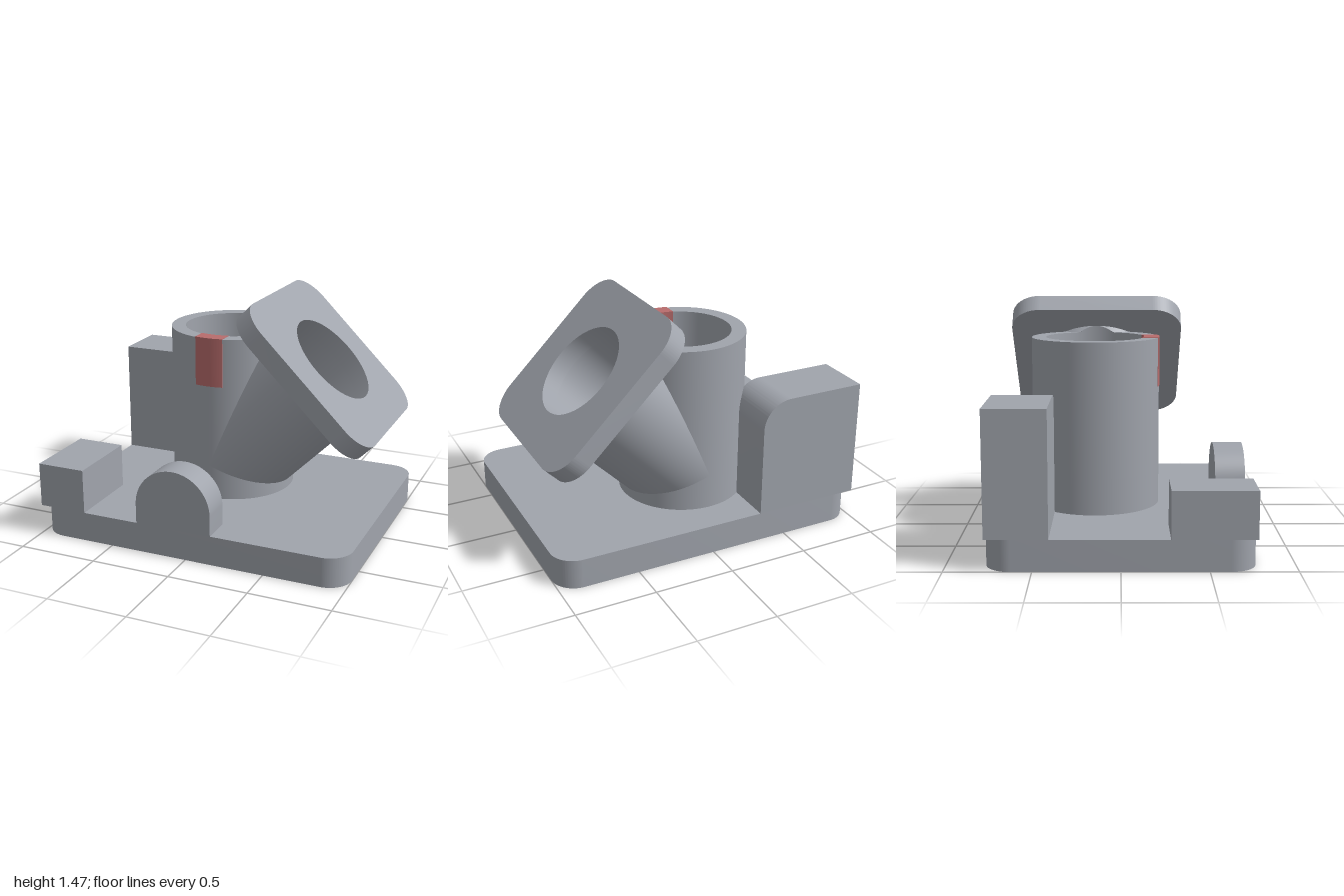
import * as THREE from 'three';
import { toCreasedNormals } from 'three/addons/utils/BufferGeometryUtils.js';

const R = 0.398, BORE = 0.308;              // pipe radii, shared by both pipes
const CX = -0.08, CZ = -0.157, CY = 0.405;  // point where the two pipe axes meet
const BASE = 0.185, TOP = 1.235;            // base top and main pipe rim
const S1 = 0.834, S2 = 0.955;               // flange back and front along the branch axis
const Q = Math.SQRT2;

export function createModel() {
  const metal = new THREE.MeshStandardMaterial({ color: 0xa0a4ac, side: THREE.DoubleSide });
  metal.name = 'grey metal';
  const red = new THREE.MeshStandardMaterial({ color: 0xb86c6c });
  red.name = 'dull red';
  const model = new THREE.Group();

  const add = (name, geometry, material, x = 0, y = 0, z = 0) => {
    const mesh = new THREE.Mesh(geometry, material);
    mesh.name = name;
    mesh.position.set(x, y, z);
    model.add(mesh);
    return mesh;
  };

  const extrude = (shape, depth) => toCreasedNormals(
    new THREE.ExtrudeGeometry(shape, { depth, bevelEnabled: false, curveSegments: 24 }), 0.5);

  // Rounded rectangle with a round hole at (hx, hy)
  const plate = (w, h, r, hx, hy) => {
    const s = new THREE.Shape(), a = w / 2, b = h / 2;
    s.absarc(a - r, b - r, r, 0, Math.PI / 2);
    s.absarc(-a + r, b - r, r, Math.PI / 2, Math.PI);
    s.absarc(-a + r, -b + r, r, Math.PI, Math.PI * 1.5);
    s.absarc(a - r, -b + r, r, Math.PI * 1.5, Math.PI * 2);
    s.closePath();
    const hole = new THREE.Path();
    hole.absarc(hx, hy, BORE, 0, Math.PI * 2, true);
    s.holes.push(hole);
    return s;
  };

  // Open tube whose two ends follow rules of the position around it
  const tube = (r, low, high) => {
    const g = new THREE.CylinderGeometry(r, r, 1, 128, 1, true), p = g.attributes.position;
    for (let i = 0; i < p.count; i++) {
      const x = p.getX(i), z = p.getZ(i), h = high(x, z);
      p.setY(i, p.getY(i) > 0 ? h : Math.min(low(x, z), h));
    }
    return g;
  };

  // Base plate with the bore through it
  add('basePlate', extrude(plate(2, 1.54, 0.15, CX, -CZ), BASE).rotateX(-Math.PI / 2), metal);

  // Main pipe, left open where the branch joins
  const joinLow = (x) => CY - (Q - 1) * Math.max(x, 0);
  const joinHigh = (x) => CY + (Q + 1) * Math.max(x, 0);
  const boreTop = (x, z) => x > 0
    ? Math.max(TOP, CY + x + Q * Math.sqrt(R * R - z * z)) : TOP;
  add('mainPipeLower', tube(R, () => BASE, joinLow), metal, CX, 0, CZ);
  add('mainPipeUpper', tube(R, joinHigh, () => TOP), metal, CX, 0, CZ);
  add('mainBoreLower', tube(BORE, () => 0, joinLow), metal, CX, 0, CZ);
  add('mainBoreUpper', tube(BORE, joinHigh, boreTop), metal, CX, 0, CZ);
  add('mainPipeRim', new THREE.RingGeometry(BORE, R, 128).rotateX(-Math.PI / 2), metal, CX, TOP, CZ);

  // Branch pipe at 45 degrees, trimmed to the main pipe, its rim and its bore
  const branchStart = (x, z) => {
    const c = -x;
    const join = c + Q * Math.abs(c);
    const rim = (TOP - CY) * Q - c;
    const bore = c + Q * Math.sqrt(Math.max(0, BORE * BORE - z * z));
    return Math.min(join, Math.max(rim, bore));
  };
  const tilt = -Math.PI / 4;
  add('branchPipe', tube(R, branchStart, () => S1).rotateZ(tilt), metal, CX, CY, CZ);
  add('branchBore', tube(BORE, (x) => -x + Q * Math.abs(x), () => S2).rotateZ(tilt), metal, CX, CY, CZ);

  // Square flange on the branch
  const flange = extrude(plate(1.11, 1.11, 0.19, 0, 0), S2 - S1);
  flange.translate(0, 0, S1).rotateY(Math.PI / 2).rotateZ(Math.PI / 4);
  add('branchFlange', flange, metal, CX, CY, CZ);

  // Red insert through the front of the main pipe wall, slightly proud
  const half = 0.09, e = 0.003;
  const ao = Math.asin(half / (R + e)), ai = Math.asin(half / (BORE - e));
  const down = -Math.PI / 2;
  const insert = new THREE.Shape();
  insert.absarc(0, 0, R + e, down - ao, down + ao, false);
  insert.absarc(0, 0, BORE - e, down + ai, down - ai, true);
  insert.closePath();
  add('redInsert', extrude(insert, TOP + e - 0.93).rotateX(-Math.PI / 2), red, CX, 0.93, CZ);

  // Tall back block with one rounded upper edge
  const back = new THREE.Shape();
  back.moveTo(-1, BASE);
  back.lineTo(-0.325, BASE);
  back.absarc(-0.505, 0.745, 0.18, 0, Math.PI / 2);
  back.lineTo(-1, 0.925);
  back.closePath();
  add('backBlock', extrude(back, 0.365), metal, 0, 0, -0.77);

  // Low front corner block
  add('cornerBlock', new THREE.BoxGeometry(0.31, 0.28, 0.49), metal, -0.845, BASE + 0.14, 0.525);

  // Round-topped front lug
  const lug = new THREE.Shape();
  lug.moveTo(CX - 0.245, BASE);
  lug.lineTo(CX + 0.245, BASE);
  lug.absarc(CX, 0.31, 0.245, 0, Math.PI);
  lug.closePath();
  add('frontLug', extrude(lug, 0.185), metal, 0, 0, 0.585);

  return model;
}
